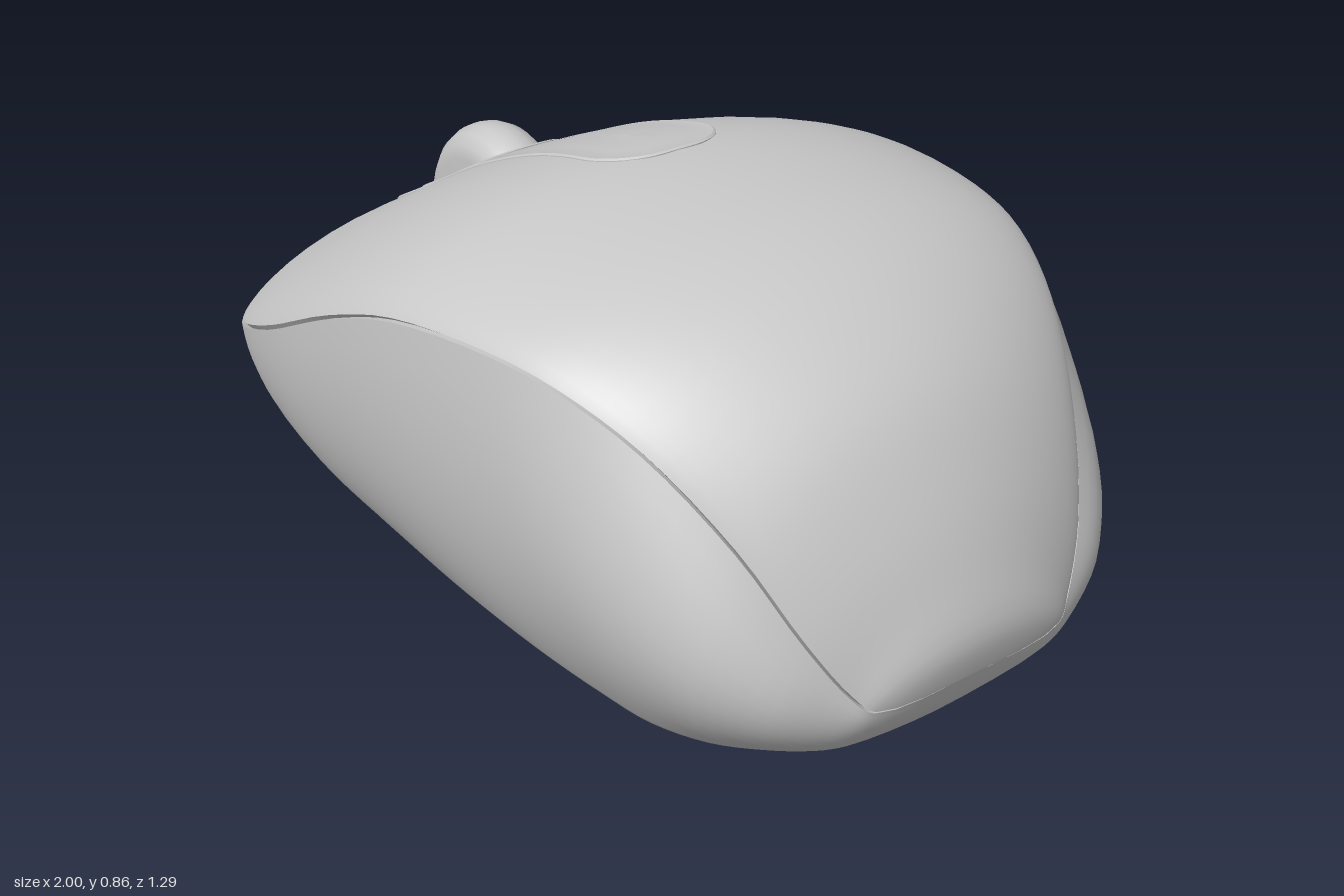
import * as THREE from 'three';
import { mergeVertices, toCreasedNormals } from 'three/addons/utils/BufferGeometryUtils.js';

const V = (x, y, z) => new THREE.Vector3(x, y, z);

// Closed curve through a half outline (front centre to back centre) and its mirror image
function mirroredLoop(half) {
  const pts = half.map(p => V(...p));
  const other = pts.slice(1, -1).reverse().map(p => V(p.x, p.y, -p.z));
  return new THREE.CatmullRomCurve3([...pts, ...other], true);
}

// Seam between the shell and the lower body
const seam = mirroredLoop([
  [-1, .27, 0], [-.985, .262, .15], [-.94, .255, .29], [-.8, .275, .475],
  [-.6, .35, .59], [-.35, .465, .64], [-.1, .595, .635], [.1, .67, .612],
  [.35, .70, .565], [.5, .685, .525], [.65, .62, .465], [.8, .48, .385],
  [.9, .325, .315], [.95, .22, .25], [.968, .19, .215], [.985, .19, 0]]);

// Bulge of the side walls, as the control point of a quadratic curve
const bulge = mirroredLoop([
  [-.965, .13, 0], [-.955, .13, .16], [-.915, .13, .295], [-.785, .14, .465],
  [-.595, .18, .58], [-.35, .21, .637], [-.1, .26, .65], [.1, .285, .643],
  [.35, .31, .625], [.5, .33, .63], [.68, .32, .618], [.84, .26, .56],
  [.93, .2, .445], [.95, .14, .31], [.955, .12, .22], [.955, .115, 0]]);

// Lower edge of the side walls
const base = mirroredLoop([
  [-.892, 0], [-.884, .135], [-.845, .25], [-.727, .387], [-.565, .457], [-.335, .498],
  [-.1, .5], [.1, .495], [.335, .478], [.51, .455], [.635, .43], [.738, .378],
  [.808, .312], [.856, .25], [.88, .2], [.9, 0]].map(([x, z]) => [x, .052, z]));

// Centre line of the shell
const ridge = mirroredLoop([
  [-1, .27], [-.987, .313], [-.94, .348], [-.8, .437], [-.6, .553], [-.35, .698],
  [-.1, .805], [.1, .85], [.35, .848], [.5, .826], [.65, .774], [.8, .667],
  [.9, .52], [.962, .385], [.998, .27], [.985, .19]].map(([x, y]) => [x, y, 0]));

// Point on the shell: t = 1 at the seam, 0 on the centre line
const rise = t => Math.pow(Math.max(0, 1 - t * t), .7);
function shellPoint(u, t) {
  const s = seam.getPoint(u), r = ridge.getPoint(u), f = rise(t);
  return V(s.x + (r.x - s.x) * f, s.y + (r.y - s.y) * f, s.z * t);
}

// Shell height above a plan position
function shellHeight(x, z) {
  let a = 0, b = .5;
  for (let i = 0; i < 30; i++) {
    const m = (a + b) / 2;
    if (seam.getPoint(m).x < x) a = m; else b = m;
  }
  return shellPoint(a, Math.min(1, Math.abs(z) / seam.getPoint(a).z)).y;
}

// Skin over closed loops of points
function skin(rows, crease = .7) {
  const n = rows[0].length, pos = [], index = [];
  rows.forEach(row => row.forEach(p => pos.push(p.x, p.y, p.z)));
  for (let j = 0; j < rows.length - 1; j++) {
    for (let i = 0; i < n; i++) {
      const k = (i + 1) % n;
      const a = j * n + i, b = j * n + k, c = b + n, d = a + n;
      index.push(a, b, d, b, c, d);
    }
  }
  const geo = new THREE.BufferGeometry();
  geo.setAttribute('position', new THREE.Float32BufferAttribute(pos, 3));
  geo.setIndex(index);
  return toCreasedNormals(mergeVertices(geo, 1e-5), crease);
}

const SEGMENTS = 120;
const ring = fn => Array.from({ length: SEGMENTS }, (_, i) => fn(i / SEGMENTS));
const inset = (p, d) => V(p.x * (1 - d), p.y, p.z * (1 - d));

// Rounded panel following the shell; profile is a list of [inset, lift]
function panel(x0, x1, half, radius, profile) {
  return skin(profile.map(([d, lift]) => {
    const w = Math.max(half - d, .001), r = Math.max(radius - d, .0005);
    const l = x0 + d, e = x1 - d, h = Math.PI / 2;
    const shape = new THREE.Shape();
    shape.absarc(e - r, w - r, r, 0, h);
    shape.absarc(l + r, w - r, r, h, 2 * h);
    shape.absarc(l + r, r - w, r, 2 * h, 3 * h);
    shape.absarc(e - r, r - w, r, 3 * h, 4 * h);
    shape.closePath();
    return shape.getSpacedPoints(96).slice(0, 96)
      .map(p => V(p.x, shellHeight(p.x, -p.y) + lift, -p.y));
  }));
}

export function createModel() {
  const group = new THREE.Group();
  const plastic = new THREE.MeshStandardMaterial({ color: 0xc8c8c8 });
  plastic.name = 'grey plastic';
  const add = (name, geometry, x = 0, y = 0, z = 0) => {
    const mesh = new THREE.Mesh(geometry, plastic);
    mesh.name = name;
    mesh.position.set(x, y, z);
    group.add(mesh);
    return mesh;
  };

  // Lower body: underside, rounded lower edge, curved walls and a small step in at the seam
  const wall = Array.from({ length: 13 }, (_, j) => ring(u =>
    new THREE.QuadraticBezierCurve3(base.getPoint(u), bulge.getPoint(u), seam.getPoint(u)).getPoint(j / 12)));
  add('lowerBody', skin([
    ring(u => V(base.getPoint(u).x * .5, .035, 0)),
    ring(u => inset(base.getPoint(u), .035).setY(.035)),
    ring(u => inset(base.getPoint(u), .016).setY(.039)),
    ...wall,
    ring(u => inset(seam.getPoint(u), .018))]));

  // Upper shell, starting inside the seam groove
  const steps = [.995, .985, .965, .93, .88, .8, .7, .58, .45, .3, .15, 0];
  add('topShell', skin([
    ring(u => inset(seam.getPoint(u), .018)),
    ...steps.map(t => ring(u => shellPoint(u, t)))], 1));

  // Centre strip and the rim around the wheel
  add('centreStrip', panel(-.81, .12, .145, .115,
    [[0, -.012], [0, .001], [.005, .004], [.012, .002], [.05, .002], [.09, .002], [.144, .002]]));
  add('wheelRim', panel(-.755, -.38, .1, .085,
    [[0, -.01], [0, .004], [.006, .007], [.014, .006], [.02, 0]]));

  // Split between the two buttons
  const split = Array.from({ length: 8 }, (_, i) => {
    const x = -.985 + i * .025;
    return V(x, shellHeight(x, 0), 0);
  });
  add('buttonSplit', new THREE.TubeGeometry(new THREE.CatmullRomCurve3(split), 20, .004, 6));

  // Scroll wheel with a rounded tread
  const tread = [[0, -.076], [.15, -.076], [.18, -.068], [.2, -.05], [.212, -.025],
    [.215, 0], [.212, .025], [.2, .05], [.18, .068], [.15, .076], [0, .076]];
  const wheel = add('scrollWheel', new THREE.LatheGeometry(
    tread.map(([r, y]) => new THREE.Vector2(r, y)), 48), -.517, .465, 0);
  wheel.rotation.x = Math.PI / 2;

  // Sensor ring, button disc and slider on the underside
  const lathe = pts => new THREE.LatheGeometry(pts.map(([r, y]) => new THREE.Vector2(r, y)), 32);
  add('sensorRing', toCreasedNormals(lathe(
    [[0, .03], [.05, .028], [.062, .012], [.08, .012], [.09, .016], [.09, .037]]), .5), .345, 0, 0);
  add('sensorLens', new THREE.CylinderGeometry(.03, .026, .034, 16), .345, .017, 0);
  add('sensorSurround', new THREE.TorusGeometry(.122, .003, 6, 40).rotateX(Math.PI / 2), .345, .035, 0);
  add('powerDisc', new THREE.CylinderGeometry(.095, .092, .008, 32), .55, .034, -.235);
  add('powerDiscRim', new THREE.TorusGeometry(.055, .003, 6, 32).rotateX(Math.PI / 2), .55, .03, -.235);
  add('powerMark', new THREE.BoxGeometry(.04, .006, .04), .55, .029, -.235);
  const slider = add('slider', new THREE.CylinderGeometry(.05, .047, .01, 24), .555, .034, .02);
  slider.scale.z = .7;

  return group;
}
